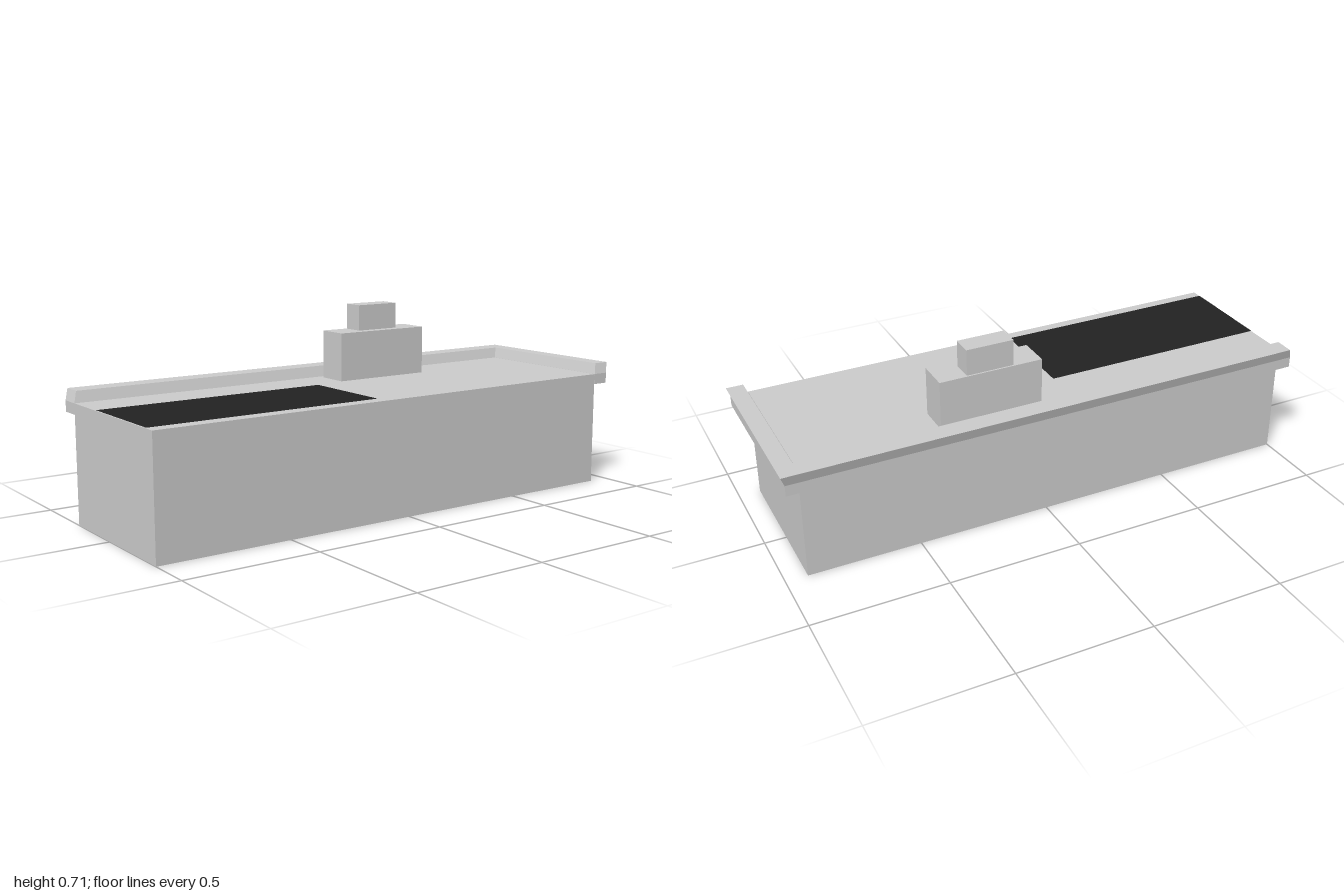
import * as THREE from 'three';

const stone = new THREE.MeshStandardMaterial({ color: 0xcccccc, side: THREE.DoubleSide });
stone.name = 'light grey';
const black = new THREE.MeshStandardMaterial({ color: 0x222222, side: THREE.DoubleSide });
black.name = 'black';

// Joins outlines of [x, z] points stacked at given heights, with flat optional caps.
function loft(layers, capBottom, capTop) {
  const pos = [];
  const put = (layer, i) => {
    const [x, z] = layer.points[i % layer.points.length];
    pos.push(x, layer.y, z);
  };
  for (let k = 0; k < layers.length - 1; k++) {
    const lo = layers[k], hi = layers[k + 1];
    for (let i = 0; i < lo.points.length; i++) {
      put(lo, i); put(lo, i + 1); put(hi, i + 1);
      put(lo, i); put(hi, i + 1); put(hi, i);
    }
  }
  const cap = (layer, up) => {
    const outline = layer.points.map(([x, z]) => new THREE.Vector2(x, -z));
    for (const t of THREE.ShapeUtils.triangulateShape(outline, [])) {
      for (const i of up ? t : [t[0], t[2], t[1]]) put(layer, i);
    }
  };
  if (capBottom) cap(layers[0], false);
  if (capTop) cap(layers[layers.length - 1], true);
  const geometry = new THREE.BufferGeometry();
  geometry.setAttribute('position', new THREE.Float32BufferAttribute(pos, 3));
  geometry.computeVertexNormals();
  return geometry;
}

// L-shaped outline running along one side and the back.
const lShape = (outX, inX, endX, frontZ, inZ, outZ) => [
  [outX, frontZ], [inX, frontZ], [inX, inZ], [endX, inZ], [endX, outZ], [outX, outZ],
];

export function createModel() {
  const group = new THREE.Group();
  const add = (name, geometry, material = stone) => {
    const mesh = new THREE.Mesh(geometry, material);
    mesh.name = name;
    group.add(mesh);
    return mesh;
  };
  const addBox = (name, x0, x1, y0, y1, z0, z1) =>
    add(name, new THREE.BoxGeometry(x1 - x0, y1 - y0, z1 - z0))
      .position.set((x0 + x1) / 2, (y0 + y1) / 2, (z0 + z1) / 2);

  // Hollow body, open underneath
  const base = [[-0.247, 1], [0.333, 1], [0.333, -0.92], [-0.247, -0.92]];
  add('body', loft([{ y: 0, points: base }, { y: 0.43, points: base }], false, true));

  // Overhanging rim whose upper half leans outward
  const rim = lShape(-0.322, -0.247, 0.333, 1, -0.922, -0.985);
  const rimTop = lShape(-0.335, -0.261, 0.32, 0.986, -0.937, -1);
  add('rim', loft([
    { y: 0.39, points: rim }, { y: 0.43, points: rim }, { y: 0.47, points: rimTop },
  ], true, true));

  // Stepped tower
  addBox('towerBase', -0.222, -0.101, 0.43, 0.612, -0.4, -0.012);
  addBox('towerTop', -0.216, -0.137, 0.612, 0.709, -0.296, -0.12);

  // Dark panel on the deck
  const panel = add('deckPanel', new THREE.PlaneGeometry(0.367, 0.886), black);
  panel.rotation.x = -Math.PI / 2;
  panel.position.set(0.1085, 0.432, 0.556);

  return group;
}
